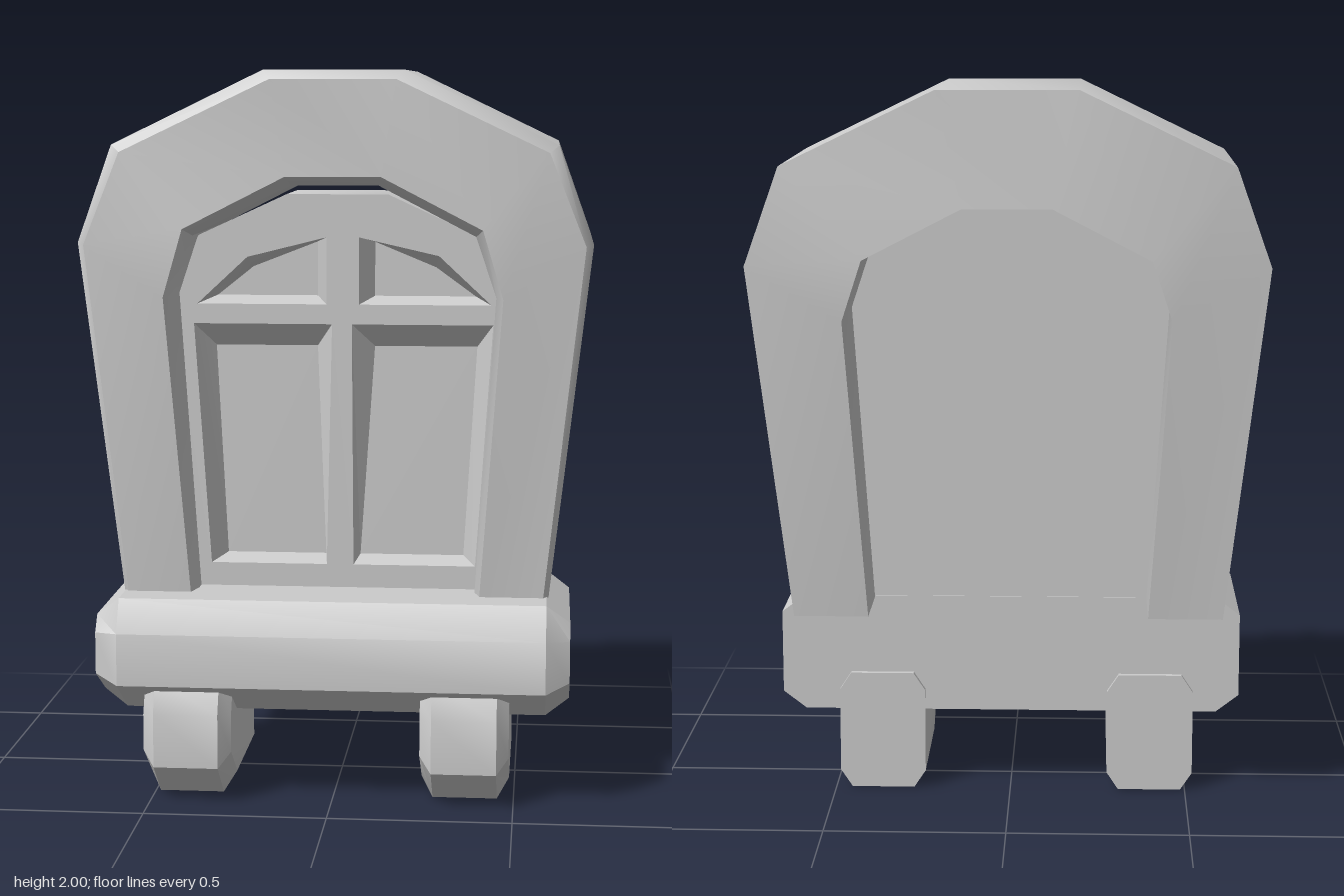
import * as THREE from 'three';
import { toCreasedNormals } from 'three/addons/utils/BufferGeometryUtils.js';

const material = new THREE.MeshStandardMaterial({ color: 0xcccccc });

// Skin closed loops of [x, y, z] points; loops run counter-clockwise about the direction of travel
function loft(loops, capStart = true, capEnd = true) {
  const n = loops[0].length;
  const index = [];
  for (let i = 0; i < loops.length - 1; i++) {
    for (let j = 0; j < n; j++) {
      const a = i * n + j, b = i * n + (j + 1) % n;
      index.push(a, b, b + n, a, b + n, a + n);
    }
  }
  const last = (loops.length - 1) * n;
  for (let k = 1; k < n - 1; k++) {
    if (capStart) index.push(0, k + 1, k);
    if (capEnd) index.push(last, last + k, last + k + 1);
  }
  const geometry = new THREE.BufferGeometry();
  geometry.setAttribute('position', new THREE.Float32BufferAttribute(loops.flat(2), 3));
  geometry.setIndex(index);
  return toCreasedNormals(geometry, 0.52);
}

function mesh(name, geometry) {
  const m = new THREE.Mesh(geometry, material);
  m.name = name;
  return m;
}

const atZ = (points, z) => points.map(([x, y]) => [x, y, z]);

// Block with chamfered ends, running along x; profiles are [z, y]
function chamferedBlock(half, chamfer, large, small, cx = 0) {
  const at = (profile, x) => profile.map(([z, y]) => [cx + x, y, z]);
  return loft([at(small, half), at(large, half - chamfer), at(large, chamfer - half), at(small, -half)]);
}

// Stone arch: one station per bend, from the foot of a jamb to the crown
function archGeometry() {
  const stations = [
    { out: [0.59, 0.56], rim: [0.575, 0.56], lip: [0.40, 0.56], inn: [0.385, 0.56], zo: 0.26, zi: 0.26, bo: -0.33, bi: -0.33 },
    { out: [0.70, 1.535], rim: [0.68, 1.53], lip: [0.46, 1.39], inn: [0.44, 1.39], zo: 0.305, zi: 0.325, bo: -0.385, bi: -0.4 },
    { out: [0.605, 1.80], rim: [0.58, 1.78], lip: [0.405, 1.575], inn: [0.385, 1.555], zo: 0.305, zi: 0.335, bo: -0.38, bi: -0.415 },
    { out: [0.19, 2.0], rim: [0.17, 1.975], lip: [0.13, 1.715], inn: [0.12, 1.69], zo: 0.305, zi: 0.305, bo: -0.375, bi: -0.395 },
  ];
  const section = (s, side) => [
    [...s.out, s.bo], [...s.out, s.zo - 0.028], [...s.rim, s.zo],
    [...s.lip, s.zi], [...s.inn, s.zi - 0.06], [...s.inn, s.bi],
  ].map(([x, y, z]) => [side * x, y, z]);
  return loft([
    ...stations.map((s) => section(s, -1)),
    ...[...stations].reverse().map((s) => section(s, 1)),
  ]);
}

// Window panel with four sunken, bevelled panes
function windowGroup() {
  const front = 0.16, sunk = 0.1, back = -0.122;
  const outline = [
    [-0.42, 0.5], [0.42, 0.5], [0.465, 1.4], [0.385, 1.55],
    [0.14, 1.663], [-0.14, 1.663], [-0.385, 1.55], [-0.465, 1.4],
  ];
  const panes = [
    { name: 'lowerRightPane',
      rim: [[-0.355, 0.63], [-0.03, 0.63], [-0.015, 1.305], [-0.4, 1.305]],
      bed: [[-0.315, 0.65], [-0.035, 0.65], [-0.06, 1.24], [-0.345, 1.24]] },
    { name: 'lowerLeftPane',
      rim: [[0.045, 0.63], [0.385, 0.63], [0.43, 1.305], [0.04, 1.305]],
      bed: [[0.06, 0.65], [0.35, 0.65], [0.385, 1.24], [0.1, 1.24]] },
    { name: 'upperRightPane',
      rim: [[-0.39, 1.36], [-0.03, 1.36], [-0.03, 1.545], [-0.25, 1.49]],
      bed: [[-0.34, 1.38], [-0.06, 1.38], [-0.06, 1.53], [-0.24, 1.46]] },
    { name: 'upperLeftPane',
      rim: [[0.06, 1.36], [0.425, 1.36], [0.28, 1.495], [0.06, 1.545]],
      bed: [[0.1, 1.38], [0.38, 1.38], [0.27, 1.46], [0.1, 1.53]] },
  ];
  const group = new THREE.Group();
  group.name = 'window';

  const toVectors = (pts) => pts.map((p) => new THREE.Vector2(...p));
  const face = new THREE.Shape(toVectors(outline));
  face.holes = panes.map((p) => new THREE.Path(toVectors(p.rim)));
  group.add(mesh('windowFrameFront', new THREE.ShapeGeometry(face).translate(0, 0, front)));
  group.add(mesh('windowPanel', loft([atZ(outline, back), atZ(outline, front)], true, false)));
  for (const p of panes) {
    group.add(mesh(p.name, loft([atZ(p.rim, front), atZ(p.bed, sunk)], false, true)));
  }
  return group;
}

export function createModel() {
  const model = new THREE.Group();
  model.name = 'archedWindow';
  model.add(mesh('arch', archGeometry()), windowGroup());

  // Sill
  model.add(mesh('sill', chamferedBlock(0.65, 0.065,
    [[-0.125, 0.23], [0.24, 0.23], [0.41, 0.33], [0.41, 0.475], [0.36, 0.565], [-0.125, 0.565]],
    [[-0.125, 0.28], [0.235, 0.28], [0.37, 0.355], [0.37, 0.47], [0.335, 0.515], [-0.125, 0.515]])));

  // Brackets under the sill
  for (const [name, x] of [['rightBracket', -0.398], ['leftBracket', 0.365]]) {
    model.add(mesh(name, chamferedBlock(0.122, 0.033,
      [[-0.14, 0], [0.28, 0], [0.4, 0.1], [0.4, 0.25], [0.36, 0.34], [-0.14, 0.34]],
      [[-0.14, 0.05], [0.24, 0.05], [0.365, 0.14], [0.365, 0.24], [0.34, 0.29], [-0.14, 0.29]], x)));
  }
  return model;
}
